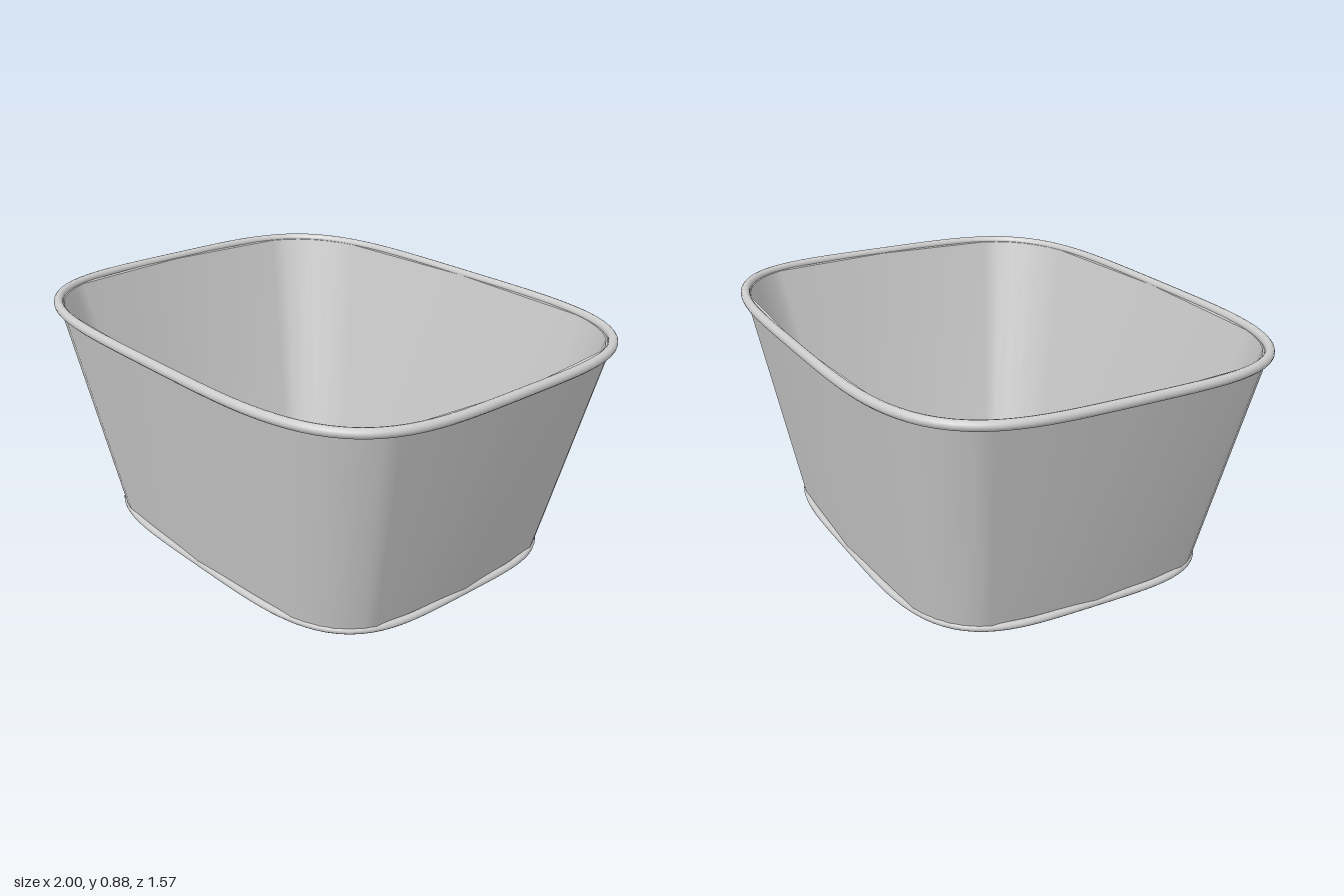
import * as THREE from 'three';

const material = new THREE.MeshStandardMaterial({ color: 0xcccccc });

// Point on a squarish oval (superellipse of power 4) with half sizes a, b
function ovalPoint(deg, a, b, y) {
  const t = THREE.MathUtils.degToRad(deg);
  const root = (v) => (Math.abs(v) < 1e-9 ? 0 : Math.sign(v) * Math.sqrt(Math.abs(v)));
  return new THREE.Vector3(a * root(Math.cos(t)), y, b * root(Math.sin(t)));
}

// Wall facets: long flat sides, closely spaced around the corners
const wallAngles = [];
for (let q = 0; q < 360; q += 90) {
  for (const d of [0, 25, 31, 38, 45, 52, 59, 65]) wallAngles.push(q + d);
}

// Skin a sequence of [halfX, halfZ, y] ovals
function loft(name, rings) {
  const n = wallAngles.length;
  const positions = [];
  const index = [];
  for (const [a, b, y] of rings) {
    for (const deg of wallAngles) positions.push(...ovalPoint(deg, a, b, y).toArray());
  }
  for (let r = 0; r < rings.length - 1; r++) {
    for (let i = 0; i < n; i++) {
      const j = (i + 1) % n;
      const a = r * n + i, b = r * n + j, c = a + n, d = b + n;
      index.push(a, c, b, b, c, d);
    }
  }
  const geometry = new THREE.BufferGeometry();
  geometry.setAttribute('position', new THREE.Float32BufferAttribute(positions, 3));
  geometry.setIndex(index);
  geometry.computeVertexNormals();
  const mesh = new THREE.Mesh(geometry, material);
  mesh.name = name;
  return mesh;
}

// Rolled bead following the oval
function bead(name, a, b, y, radius) {
  const points = [];
  for (let deg = 0; deg < 360; deg += 7.5) points.push(ovalPoint(deg, a, b, y));
  const path = new THREE.CatmullRomCurve3(points, true);
  const mesh = new THREE.Mesh(new THREE.TubeGeometry(path, 128, radius, 12, true), material);
  mesh.name = name;
  return mesh;
}

export function createModel() {
  const group = new THREE.Group();
  group.name = 'basin';

  // Tapered walls
  group.add(loft('outerWall', [[0.775, 0.61, 0.004], [0.98, 0.767, 0.855]]));
  group.add(loft('innerWall', [[0.96, 0.75, 0.855], [0.737, 0.577, 0.03]]));
  group.add(loft('wallTop', [[0.98, 0.767, 0.855], [0.96, 0.75, 0.855]]));

  // Floor seen from inside and from below
  group.add(loft('floor', [[0.737, 0.577, 0.03], [0, 0, 0.03]]));
  group.add(loft('underside', [[0, 0, 0.004], [0.775, 0.61, 0.004]]));

  // Rolled rim and foot bead
  group.add(bead('rim', 0.982, 0.767, 0.857, 0.018));
  group.add(bead('footBead', 0.773, 0.606, 0.014, 0.014));

  return group;
}
